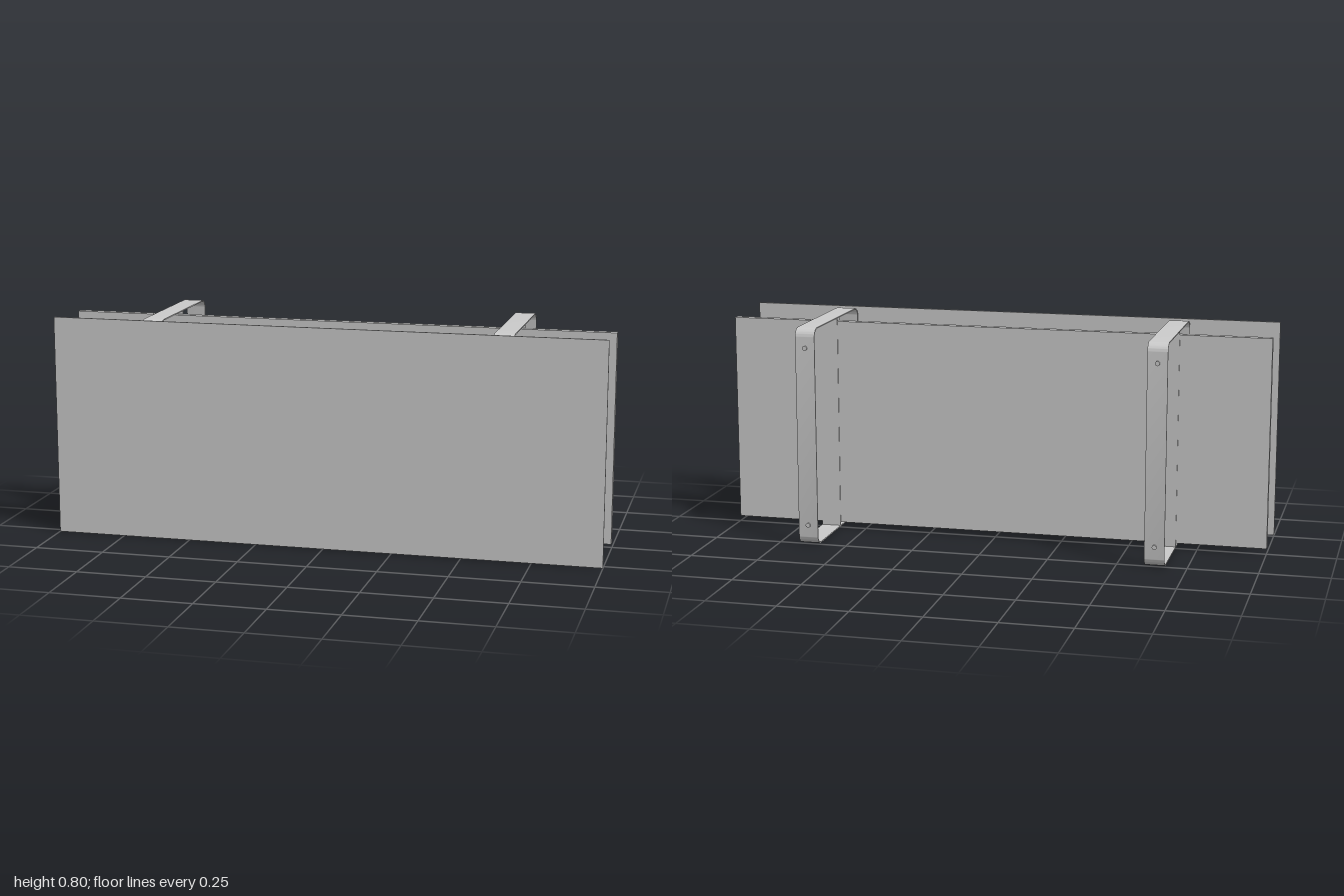
import * as THREE from 'three';
import { toCreasedNormals } from 'three/addons/utils/BufferGeometryUtils.js';

const material = new THREE.MeshStandardMaterial({ color: 0xcccccc });

function part(parent, name, geometry, x, y, z) {
  const mesh = new THREE.Mesh(geometry, material);
  mesh.name = name;
  mesh.position.set(x, y, z);
  parent.add(mesh);
  return mesh;
}

// Rounded rectangle traced counter-clockwise
function roundedRect(path, x0, y0, x1, y1, r) {
  path.moveTo(x0 + r, y0);
  path.lineTo(x1 - r, y0);
  path.absarc(x1 - r, y0 + r, r, -Math.PI / 2, 0);
  path.lineTo(x1, y1 - r);
  path.absarc(x1 - r, y1 - r, r, 0, Math.PI / 2);
  path.lineTo(x0 + r, y1);
  path.absarc(x0 + r, y1 - r, r, Math.PI / 2, Math.PI);
  path.lineTo(x0, y0 + r);
  path.absarc(x0 + r, y0 + r, r, Math.PI, Math.PI * 1.5);
  return path;
}

// Flat steel band bent into a closed loop, profile in z and y
function bandGeometry(width, t) {
  const z0 = -0.267, z1 = 0.253, y0 = 0.002, y1 = 0.799, r = 0.034;
  const shape = roundedRect(new THREE.Shape(), z0, y0, z1, y1, r);
  shape.holes.push(roundedRect(new THREE.Path(), z0 + t, y0 + t, z1 - t, y1 - t, r - t));
  const geometry = new THREE.ExtrudeGeometry(shape, { depth: width, bevelEnabled: false, curveSegments: 10 });
  geometry.translate(0, 0, -width / 2);
  geometry.rotateY(-Math.PI / 2);
  return toCreasedNormals(geometry, 0.6);
}

// Short cylinder lying along z
function disc(radius, length) {
  return new THREE.CylinderGeometry(radius, radius, length, 24).rotateX(Math.PI / 2);
}

export function createModel() {
  const group = new THREE.Group();
  const bandWidth = 0.072;

  // Large boards
  part(group, 'frontPanel', new THREE.BoxGeometry(2, 0.8, 0.007), 0, 0.4, 0.2685);
  part(group, 'middleBoard', new THREE.BoxGeometry(2, 0.765, 0.027), 0, 0.4015, 0.0155);

  // Two identical brackets
  for (const side of [1, -1]) {
    const bracket = new THREE.Group();
    bracket.name = side > 0 ? 'leftBracket' : 'rightBracket';
    bracket.position.x = side * 0.636;
    group.add(bracket);

    part(bracket, 'bandLoop', bandGeometry(bandWidth, 0.004), 0, 0, 0);
    part(bracket, 'centreStrip', new THREE.BoxGeometry(bandWidth, 0.792, 0.003), 0, 0.4005, 0.0005);

    // Spacers behind the front panel
    for (const y of [0.088, 0.716]) part(bracket, 'spacer', disc(0.0215, 0.013), 0, y, 0.259);
    // Screw heads on the back
    for (const y of [0.075, 0.728]) part(bracket, 'screwHead', disc(0.0085, 0.007), 0, y, -0.2695);
  }
  return group;
}
